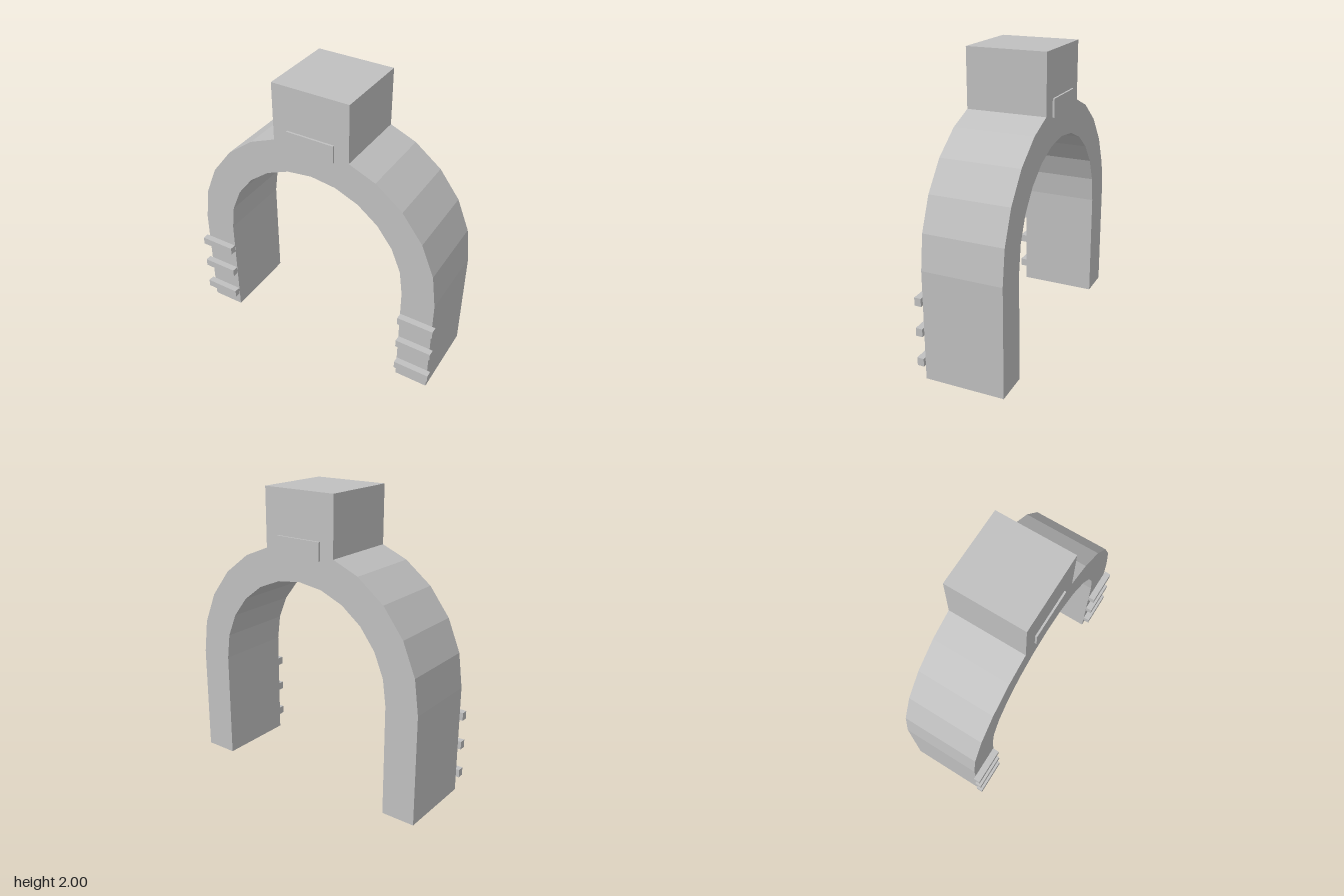
import * as THREE from 'three';

export function createModel() {
  const model = new THREE.Group();
  const grey = new THREE.MeshStandardMaterial({ color: 0xc0c0c0 });
  grey.name = 'stone grey';

  const zBack = -0.285, zFront = 0.255;
  const springY = 0.75, outerR = 0.9, innerR = 0.67;
  const blockHalf = 0.268;

  const addBox = (name, w, h, d, x, y, z) => {
    const mesh = new THREE.Mesh(new THREE.BoxGeometry(w, h, d), grey);
    mesh.name = name;
    mesh.position.set(x, y, z);
    model.add(mesh);
  };
  const arcPoint = (r, step) => {
    const a = (step * Math.PI) / 12;
    return [r * Math.cos(a), springY + r * Math.sin(a)];
  };

  // Arch with keystone block, one closed outline of 15 degree facets
  const half = [[outerR, 0]];
  for (let i = 0; i <= 4; i++) half.push(arcPoint(outerR, i));
  half.push([blockHalf, 1.605], [blockHalf, 2]);
  const outer = [...half, ...half.map(([x, y]) => [-x, y]).reverse()];
  const inner = [[-innerR, 0]];
  for (let i = 12; i >= 0; i--) inner.push(arcPoint(innerR, i));
  inner.push([innerR, 0]);
  const outline = new THREE.Shape([...outer, ...inner].map(([x, y]) => new THREE.Vector2(x, y)));
  const arch = new THREE.Mesh(
    new THREE.ExtrudeGeometry(outline, { depth: zFront - zBack, bevelEnabled: false }), grey);
  arch.name = 'archAndKeystone';
  arch.position.z = zBack;
  model.add(arch);

  // Raised plaques on the front and back of the keystone
  addBox('frontPlaque', 0.334, 0.12, 0.013, 0, 1.64, zFront + 0.0065);
  addBox('backPlaque', 0.334, 0.12, 0.013, 0, 1.64, zBack - 0.0065);

  // Three bars across the front of each leg
  for (const side of [-1, 1]) {
    for (const y of [0.127, 0.337, 0.547]) {
      addBox(side > 0 ? 'leftLegBar' : 'rightLegBar', 0.25, 0.055, 0.045, side * 0.798, y, zFront + 0.0225);
    }
  }
  return model;
}
